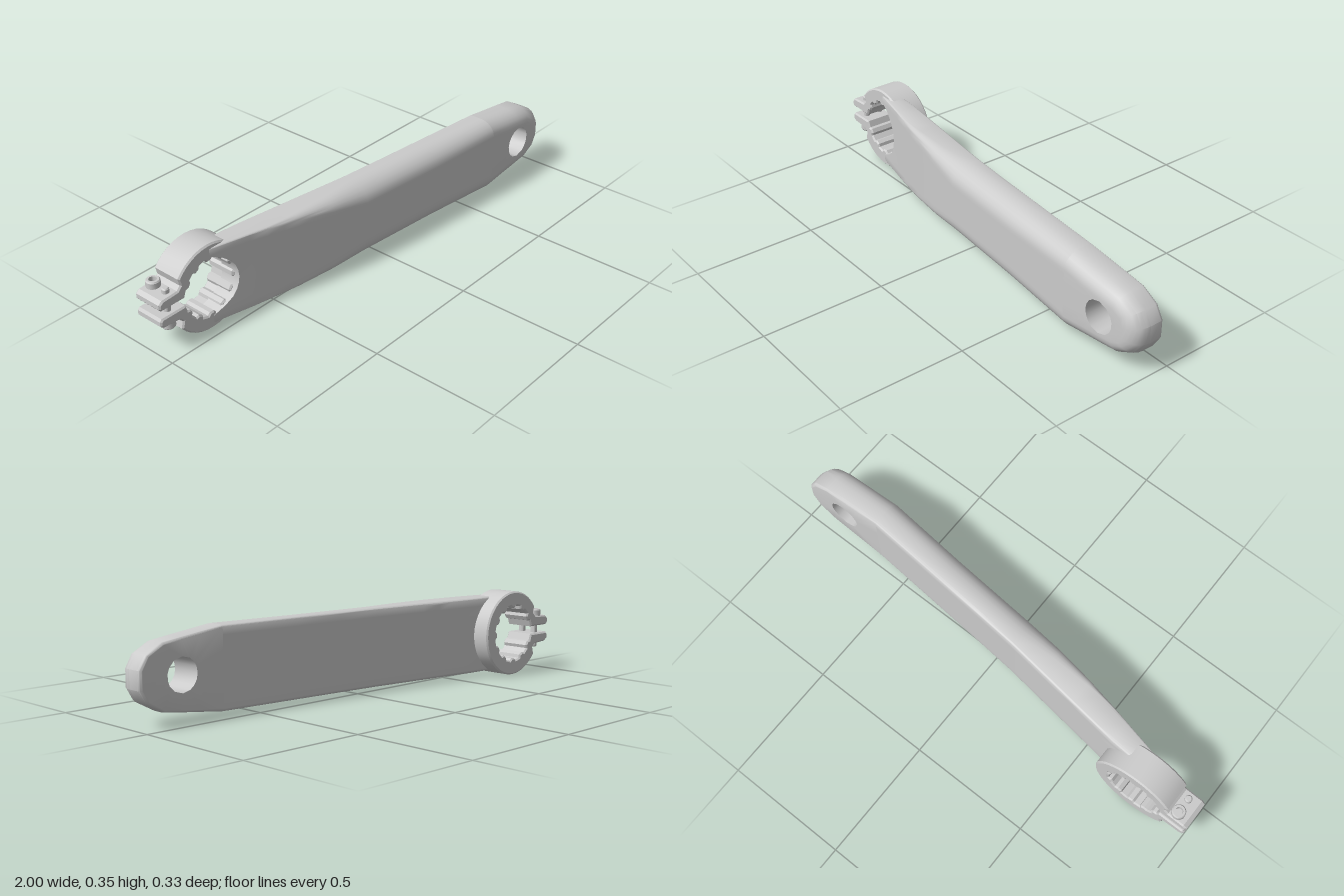
import * as THREE from 'three';
import { mergeGeometries, toCreasedNormals } from 'three/addons/utils/BufferGeometryUtils.js';

const CY = 0.178;            // height of the arm's centre line
const CX = -0.765;           // axle bore centre
const BORE = 0.115;
const K = 6;                 // steps in each rounded edge
const material = new THREE.MeshStandardMaterial({ color: 0xcccccc });

// Piecewise linear lookup
function lookup(table, x) {
  if (x <= table[0][0]) return table[0][1];
  for (let i = 1; i < table.length; i++) {
    const [x0, v0] = table[i - 1], [x1, v1] = table[i];
    if (x <= x1) return v0 + (v1 - v0) * (x - x0) / (x1 - x0);
  }
  return table[table.length - 1][1];
}

// Surface through rows of points
function skin(rows, closed, skip = () => false) {
  const pos = [];
  const n = rows[0].length;
  for (let r = 0; r < rows.length - 1; r++) {
    for (let c = 0; c < (closed ? n : n - 1); c++) {
      const d = (c + 1) % n;
      const [p, q, s, t] = [rows[r][c], rows[r + 1][c], rows[r + 1][d], rows[r][d]];
      if (!skip(p, q, s, t)) pos.push(...p, ...q, ...s, ...p, ...s, ...t);
    }
  }
  const g = new THREE.BufferGeometry();
  g.setAttribute('position', new THREE.Float32BufferAttribute(pos, 3));
  return g;
}

function add(group, name, geometry, crease = 0.55) {
  const mesh = new THREE.Mesh(toCreasedNormals(geometry, crease), material);
  mesh.name = name;
  group.add(mesh);
  return mesh;
}

// Side profile of the arm: front and back depth and edge rounding along x
const frontZ = [[-0.77, -0.042], [-0.65, -0.015], [-0.53, 0.015], [-0.4, 0.045], [-0.24, 0.077],
  [-0.08, 0.1], [0.3, 0.132], [0.64, 0.163]];
const backZ = [[-0.69, -0.108], [-0.4, -0.07], [-0.05, -0.024], [0.64, 0.034]];
const rounding = [[-0.62, 0.004], [-0.4, 0.022], [-0.2, 0.05], [-0.08, 0.07], [0.3, 0.07], [0.64, 0.06]];
const HALF = 0.157;

// Points [dy, dz] across one face, from bottom to top, with rounded edges
function faceProfile(inset) {
  const half = [];
  for (let k = 0; k <= K; k++) {
    const t = k / K * Math.PI / 2;
    half.push([-(HALF - inset) - inset * Math.cos(t), -1.15 * inset * (1 - Math.sin(t))]);
  }
  const flat = [];
  for (let k = 1; k < 12; k++) flat.push([(HALF - inset) * (k / 6 - 1), 0]);
  return [...half, ...flat, ...half.map(([y, z]) => [-y, z]).reverse()];
}

function armBody() {
  const xs = [CX, -0.6, -0.53, -0.46, -0.4, -0.32, -0.24, -0.16, -0.08, 0.1, 0.3, 0.64];
  const side = (x, i, table, inset, sign) => faceProfile(inset).map(([dy, dz]) => {
    // the first section follows the bore
    const px = i ? x : CX + Math.sqrt(Math.max(0, BORE * BORE - dy * dy));
    return [px, CY + dy, lookup(table, px) + sign * dz];
  });
  const fronts = xs.map((x, i) => side(x, i, frontZ, lookup(rounding, x), 1));
  const backs = xs.map((x, i) => side(x, i, backZ, 0.012, -1));
  const rows = fronts.map((f, i) => [...f, ...[...backs[i]].reverse()]);
  return mergeGeometries([skin(rows, true), skin([backs[0], fronts[0]], false)]);
}

// Tapered tip with the pedal hole
function armTip() {
  const hx = 0.82, hr = 0.065, x0 = 0.64, zf = 0.163, zb = 0.034;
  // x, half height, inset in x, inset in y
  const top = [[1, 0.035, 0.065, 0.015], [0.97, 0.085, 0.05, 0.035], [0.9, 0.123, 0.02, 0.055],
    [0.82, 0.134, 0, 0.058], [0.74, 0.144, 0, 0.06], [x0, HALF, 0, 0.06], [x0, 0.07, 0, 0.027]];
  const outline = [...top.map(([x, y, a, b]) => [x, -y, a, -b]).reverse(), ...top, [x0, 0, 0, 0]];
  const edge = (f, z) => outline.map(([x, y, a, b]) => [x - a * f, CY + y - b * f, z]);
  const hole = z => outline.map(([x, y]) => {
    const t = Math.atan2(y, x - hx);
    return [hx + hr * Math.cos(t), CY + hr * Math.sin(t), z];
  });
  const rows = [hole(zf)];
  for (let k = K; k >= 0; k--) {
    const t = k / K * Math.PI / 2;
    rows.push(edge(1 - Math.cos(t), zf - 0.069 * (1 - Math.sin(t))));
  }
  for (let k = 0; k <= K; k++) {
    const t = k / K * Math.PI / 2;
    rows.push(edge(0.2 * (1 - Math.cos(t)), zb + 0.0138 * (1 - Math.sin(t))));
  }
  rows.push(hole(zb), hole(zf));
  // no wall where the tip meets the body
  return skin(rows, true, (...q) => q.every(p => p[0] < x0 + 1e-4));
}

// Split clamp with splined bore and two ears
function clamp() {
  const pts = [];
  const polar = (r, deg) => {
    const t = deg * Math.PI / 180;
    pts.push(new THREE.Vector2(CX + r * Math.cos(t), CY + r * Math.sin(t)));
  };
  const ear = [[-0.885, 0.016], [-0.992, 0.016], [-1, 0.026], [-1, 0.044], [-0.985, 0.056], [-0.915, 0.06], [-0.9, 0.075]];
  const put = ([x, y], s) => pts.push(new THREE.Vector2(x, CY + s * y));
  [...ear].forEach(p => put(p, -1));
  for (let a = -144; a <= 144; a += 9) polar(0.176, a);
  [...ear].reverse().forEach(p => put(p, 1));
  // splines around the bore
  for (let i = 5; i >= -5; i--) {
    const a = i * 30;
    polar(0.118, a + 9); polar(0.107, a + 5); polar(0.107, a - 5); polar(0.118, a - 9);
  }
  const bevel = 0.006;
  const g = new THREE.ExtrudeGeometry(new THREE.Shape(pts), {
    depth: 0.125 - 2 * bevel, bevelEnabled: true, bevelSegments: 1,
    bevelThickness: bevel, bevelSize: bevel, bevelOffset: -bevel
  });
  return g.translate(0, 0, -0.165 + bevel);
}

// Socket head bolt, head up
function bolt() {
  const profile = [[0, -0.078], [0.01, -0.078], [0.014, -0.073], [0.014, 0.054], [0.027, 0.054],
    [0.027, 0.08], [0.023, 0.085], [0.015, 0.085], [0.015, 0.066], [0, 0.066]];
  return new THREE.LatheGeometry(profile.map(p => new THREE.Vector2(...p)), 14);
}

export function createModel() {
  const group = new THREE.Group();
  group.name = 'crankArm';
  add(group, 'armBody', armBody());
  add(group, 'armTip', armTip());
  add(group, 'axleClamp', clamp(), 0.4);
  // the two bolts face opposite ways
  [[-0.135, 0], [-0.073, Math.PI]].forEach(([z, turn]) => {
    const b = add(group, 'pinchBolt', bolt());
    b.position.set(-0.942, CY, z);
    b.rotation.x = turn;
  });
  return group;
}
